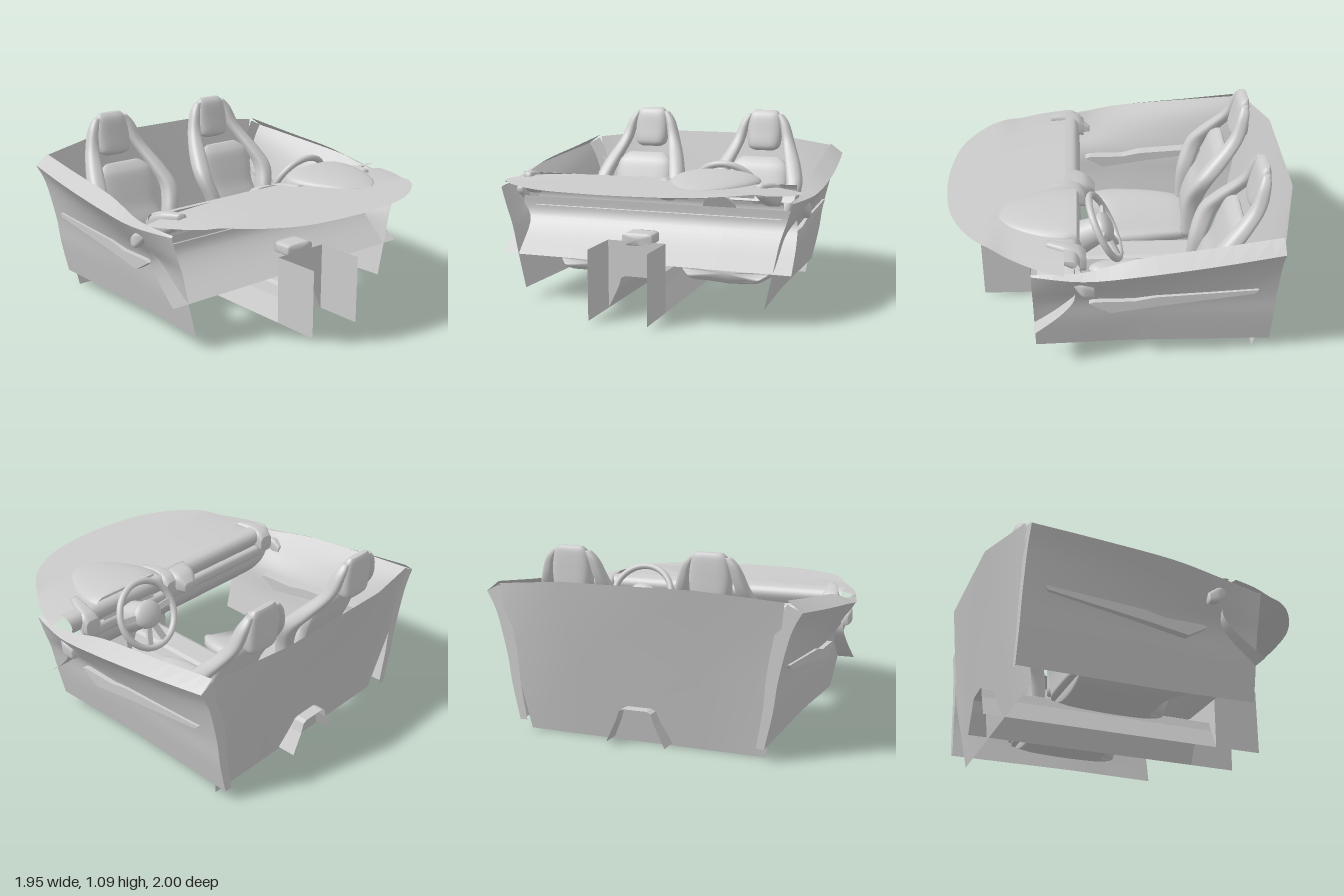
import * as THREE from 'three';

const mat = new THREE.MeshStandardMaterial({ color: 0xcccccc, side: THREE.DoubleSide });

function add(parent, name, geo) {
  const m = new THREE.Mesh(geo, mat);
  m.name = name;
  parent.add(m);
  return m;
}

// Surface through rows of [x, y, z] points; flat gives hard folds
function sheet(rows, { closed = false, flat = false, caps = false } = {}) {
  const n = rows[0].length, pos = rows.flat(2), idx = [];
  for (let i = 0; i < rows.length - 1; i++)
    for (let j = 0; j < (closed ? n : n - 1); j++) {
      const a = i * n + j, b = i * n + (j + 1) % n;
      idx.push(a, b, a + n, b, b + n, a + n);
    }
  if (caps) [0, rows.length - 1].forEach((r, k) => {
    const c = [0, 1, 2].map(d => rows[r].reduce((s, p) => s + p[d], 0) / n);
    const ci = pos.push(...c) / 3 - 1;
    for (let j = 0; j < n; j++) {
      const a = r * n + j, b = r * n + (j + 1) % n;
      idx.push(...(k ? [a, b, ci] : [b, a, ci]));
    }
  });
  let g = new THREE.BufferGeometry();
  g.setAttribute('position', new THREE.Float32BufferAttribute(pos, 3));
  g.setIndex(idx);
  if (flat) g = g.toNonIndexed();
  g.computeVertexNormals();
  return g;
}

// Smooth interpolation through lists of numbers
function smooth(list, steps) {
  const out = [], at = i => list[Math.max(0, Math.min(list.length - 1, i))];
  for (let i = 0; i < list.length - 1; i++)
    for (let s = 0; s < steps; s++) {
      const t = s / steps;
      out.push(list[i].map((_, k) => {
        const [a, b, c, d] = [at(i - 1)[k], at(i)[k], at(i + 1)[k], at(i + 2)[k]];
        return b + 0.5 * t * (c - a + t * (2 * a - 5 * b + 4 * c - d + t * (3 * (b - c) + d - a)));
      }));
    }
  out.push(list[list.length - 1]);
  return out;
}

// Rounded body; sections are [x, y, z, half width, half depth], rings lie in plane xz or xy
function body(sections, plane, { power = 0.6, steps = 5, warp = p => p } = {}) {
  const pw = v => Math.sign(v) * Math.abs(v) ** power;
  const rows = smooth(sections, steps).map(([x, y, z, w, d]) =>
    Array.from({ length: 32 }, (_, j) => {
      const a = j / 32 * Math.PI * 2, u = pw(Math.cos(a)) * w, v = pw(Math.sin(a)) * d;
      return warp(plane === 'xz' ? [x + u, y, z - v] : [x + u, y + v, z]);
    }));
  return sheet(rows, { closed: true, caps: true });
}

function makeSeat() {
  const seat = new THREE.Group();
  seat.name = 'seat';
  // Cushion: raised side bolsters, two horns at the front edge
  const warp = ([x, y, z]) => {
    const e = Math.min(1, Math.abs(x) / 0.26), front = Math.max(0, (z + 0.2) / 0.25);
    const horn = Math.exp(-(((Math.abs(x) - 0.225) / 0.07) ** 2));
    return [x * (1 - 0.06 * front * horn), y + 0.045 * e * e, z + 0.12 * front * horn];
  };
  add(seat, 'seatCushion', body([
    [0, 0.145, -0.5, 0.22, 0.05], [0, 0.145, -0.4, 0.25, 0.065], [0, 0.145, -0.2, 0.285, 0.07],
    [0, 0.145, -0.04, 0.305, 0.068], [0, 0.145, 0.03, 0.295, 0.055], [0, 0.145, 0.05, 0.275, 0.035],
  ], 'xy', { warp, power: 0.75 }));
  // Backrest: lumbar bulge, waist and shoulder bulge
  add(seat, 'backrest', body([
    [0, 0.14, -0.5, 0.2, 0.04], [0, 0.28, -0.51, 0.21, 0.045], [0, 0.42, -0.55, 0.19, 0.045],
    [0, 0.52, -0.6, 0.18, 0.045], [0, 0.63, -0.64, 0.2, 0.045], [0, 0.72, -0.67, 0.19, 0.04],
    [0, 0.76, -0.69, 0.16, 0.03], [0, 0.785, -0.7, 0.12, 0.01],
  ], 'xz'));
  add(seat, 'headrest', body([
    [0, 0.82, -0.8, 0.07, 0.035], [0, 0.85, -0.8, 0.105, 0.06], [0, 0.95, -0.81, 0.115, 0.05],
    [0, 1.05, -0.82, 0.1, 0.035], [0, 1.085, -0.83, 0.075, 0.015],
  ], 'xz'));
  // Shoulder wings from the lumbar sides up to the headrest
  for (const s of [-1, 1])
    add(seat, 'shoulderWing', body([
      [s * 0.21, 0.18, -0.49, 0.04, 0.05], [s * 0.215, 0.42, -0.5, 0.045, 0.055],
      [s * 0.26, 0.6, -0.56, 0.05, 0.06], [s * 0.235, 0.72, -0.65, 0.05, 0.06],
      [s * 0.175, 0.87, -0.77, 0.04, 0.045], [s * 0.135, 1.0, -0.81, 0.03, 0.035],
      [s * 0.1, 1.06, -0.82, 0.02, 0.02],
    ], 'xz', { power: 0.8 }));
  return seat;
}

function makeDoor(s) {
  const door = new THREE.Group();
  door.name = 'door';
  // Lower panel flaring out to the belt line, then the sill sloping up and inward
  const sections = [
    // z, lower x, mid x, outer x, outer y, inner x, inner y
    [-0.88, 0.73, 0.8, 0.92, 0.81, 0.84, 0.87],
    [-0.5, 0.725, 0.8, 0.955, 0.77, 0.86, 0.825],
    [-0.1, 0.72, 0.8, 0.975, 0.73, 0.88, 0.78],
    [0.2, 0.73, 0.8, 0.955, 0.69, 0.9, 0.71],
    [0.48, 0.74, 0.82, 0.89, 0.68, 0.88, 0.69],
  ];
  const rows = smooth(sections, 4);
  const panel = rows.map(([z, lx, mx, ox, oy]) => smooth([
    [lx * s, 0.075, z], [(lx + 0.045) * s, 0.28, z], [mx * s, 0.45, z],
    [(mx + ox) / 2 * s, oy - 0.12, z], [ox * s, oy, z],
  ], 4));
  add(door, 'doorPanel', sheet(panel));
  add(door, 'doorSill', sheet(rows.map(([z, , , ox, oy, ix, iy]) =>
    [[ox * s, oy, z], [ix * s, iy, z]]), { flat: true }));
  // Return flange along the rear edge, meeting the bulkhead
  add(door, 'rearFlange', sheet([panel[0], panel[0].map(([x, y, z]) =>
    [x - s * (0.04 + 0.05 * y), y + 0.05 * y, z])]));
  // Armrest
  const outline = [[0.17, 0.44], [0.05, 0.37], [-0.2, 0.41], [-0.75, 0.485], [-0.77, 0.51], [-0.2, 0.475], [-0.08, 0.45], [0.14, 0.45]];
  const arm = add(door, 'armrest', new THREE.ExtrudeGeometry(
    new THREE.Shape(outline.map(([z, y]) => new THREE.Vector2(-z, y))), { depth: 0.09, bevelEnabled: false }));
  arm.rotation.y = Math.PI / 2;
  arm.position.x = s > 0 ? 0.74 : -0.83;
  // Release handle
  add(door, 'doorHandle', body([
    [s * 0.89, 0.635, 0.25, 0.02, 0.015], [s * 0.905, 0.605, 0.2, 0.03, 0.045], [s * 0.9, 0.58, 0.14, 0.02, 0.03],
  ], 'xy'));
  return door;
}

function makeDashboard() {
  const dash = new THREE.Group();
  dash.name = 'dashboard';
  // Rounded top sheet: [z, half width, sag at the sides]
  const outline = smooth([
    [0.3, 0.935, 0.048], [0.45, 0.88, 0.038], [0.6, 0.795, 0.025], [0.7, 0.73, 0.004],
    [0.8, 0.645, 0.001], [0.9, 0.5, 0.001], [0.96, 0.35, 0.001], [0.99, 0.17, 0], [1, 0.03, 0],
  ], 4);
  add(dash, 'dashTop', sheet(outline.map(([z, w, sag]) => Array.from({ length: 25 }, (_, j) => {
    const u = j / 12 - 1;
    return [w * u, 0.76 - sag * u ** 4, z];
  }))));
  // Rear roll, trim band and lower panel: [z, y, half width]
  const across = pts => sheet(pts.map(([z, y, w]) => [-1, -0.5, 0, 0.5, 1].map(k => [k * w, y, z])));
  add(dash, 'dashRoll', across(smooth([[0.3, 0.757, 0.86], [0.24, 0.745, 0.86], [0.215, 0.7, 0.85], [0.24, 0.645, 0.84]], 4)));
  add(dash, 'dashTrim', across(smooth([[0.25, 0.645, 0.78], [0.215, 0.63, 0.78], [0.21, 0.58, 0.78], [0.25, 0.545, 0.78]], 4)));
  add(dash, 'lowerPanel', across(smooth([[0.25, 0.6, 0.86], [0.25, 0.5, 0.87], [0.33, 0.4, 0.88], [0.48, 0.28, 0.89]], 4)));
  // Domed instrument hood and the panel under it: [z, half width, height]
  const dome = smooth([[0.23, 0.25, 0.06], [0.3, 0.26, 0.058], [0.42, 0.235, 0.047], [0.55, 0.17, 0.03], [0.63, 0.1, 0.013], [0.67, 0.03, 0.002]], 4);
  add(dash, 'instrumentHood', sheet(dome.map(([z, w, h]) => Array.from({ length: 17 }, (_, j) => {
    const a = j / 16 * Math.PI;
    return [0.4 - w * Math.cos(a), 0.76 + h * Math.sin(a), z];
  }))));
  add(dash, 'instrumentPanel', sheet([[[0.16, 0.765, 0.27], [0.64, 0.765, 0.27]], [[0.21, 0.62, 0.22], [0.6, 0.62, 0.22]]]));
  // Air vents, slanting up and forward
  for (const [x, k] of [[0.09, -1], [0.71, 1], [-0.785, -1]])
    add(dash, 'airVent', body([
      [x + k * 0.01, 0.66, 0.18, 0.05, 0.05], [x + k * 0.01, 0.68, 0.22, 0.055, 0.065],
      [x, 0.7, 0.3, 0.045, 0.065], [x - k * 0.03, 0.73, 0.4, 0.025, 0.035],
    ], 'xy'));
  add(dash, 'centreStack', body([
    [-0.01, 0.66, 0.12, 0.04, 0.03], [-0.02, 0.68, 0.18, 0.08, 0.06], [-0.03, 0.7, 0.27, 0.1, 0.06],
  ], 'xy'));
  return dash;
}

function makeSteering() {
  const g = new THREE.Group();
  g.name = 'steeringWheel';
  add(g, 'wheelRim', new THREE.TorusGeometry(0.2, 0.02, 12, 48));
  add(g, 'wheelHub', new THREE.SphereGeometry(0.09, 24, 16)).scale.set(1.1, 0.95, 0.5);
  for (const a of [0.1, Math.PI - 0.1, Math.PI * 1.4, Math.PI * 1.6]) {
    const spoke = add(g, 'wheelSpoke', new THREE.BoxGeometry(0.15, 0.035, 0.018));
    spoke.position.set(Math.cos(a) * 0.13, Math.sin(a) * 0.13, 0);
    spoke.rotation.z = a;
  }
  const column = add(g, 'steeringColumn', new THREE.CylinderGeometry(0.1, 0.075, 0.15, 20));
  column.rotation.x = Math.PI / 2;
  column.position.z = 0.1;
  g.position.set(0.4, 0.66, 0.07);
  g.rotation.x = 0.46;
  return g;
}

function makeTunnel() {
  const g = new THREE.Group();
  g.name = 'centreTunnel';
  const profile = [[-0.175, 0.015], [-0.115, 0.14], [-0.095, 0.2], [-0.07, 0.212], [0.07, 0.212], [0.095, 0.2], [0.115, 0.14], [0.175, 0.015]];
  add(g, 'tunnel', sheet([-0.9, 0.53].map(z => profile.map(([x, y]) => [x, y, z])), { flat: true }));
  // Tall walls ahead of the tunnel and a back plate cut out around its mouth
  for (const x of [-0.175, 0.175])
    add(g, 'frontWall', sheet([0.53, 0.82].map(z => [[x, 0.015, z], [x, 0.42, z]])));
  const plate = [...profile, [0.175, 0.42], [-0.175, 0.42]].map(p => new THREE.Vector2(...p));
  add(g, 'frontBackPlate', new THREE.ShapeGeometry(new THREE.Shape(plate))).position.z = 0.53;
  add(g, 'rearHump', body([[0, 0.43, 0.4, 0.09, 0.035], [0, 0.43, 0.53, 0.09, 0.035]], 'xy', { power: 0.4 }));
  return g;
}

export function createModel() {
  const model = new THREE.Group();
  model.name = 'carInterior';
  for (const s of [-1, 1]) {
    const seat = makeSeat();
    seat.position.x = s * 0.405;
    model.add(seat, makeDoor(s));
  }
  model.add(makeDashboard(), makeSteering(), makeTunnel());
  // Rear bulkhead, leaning back and wrapping forward at its sides
  add(model, 'rearBulkhead', sheet([
    [[-0.71, 0, -0.785], [-0.36, 0, -0.785], [0.36, 0, -0.785], [0.71, 0, -0.785]],
    [[-0.78, 0.45, -0.86], [-0.37, 0.45, -0.89], [0.37, 0.45, -0.89], [0.78, 0.45, -0.86]],
    [[-0.83, 0.86, -0.89], [-0.39, 0.91, -1], [0.39, 0.91, -1], [0.83, 0.86, -0.89]],
  ]));
  return model;
}
